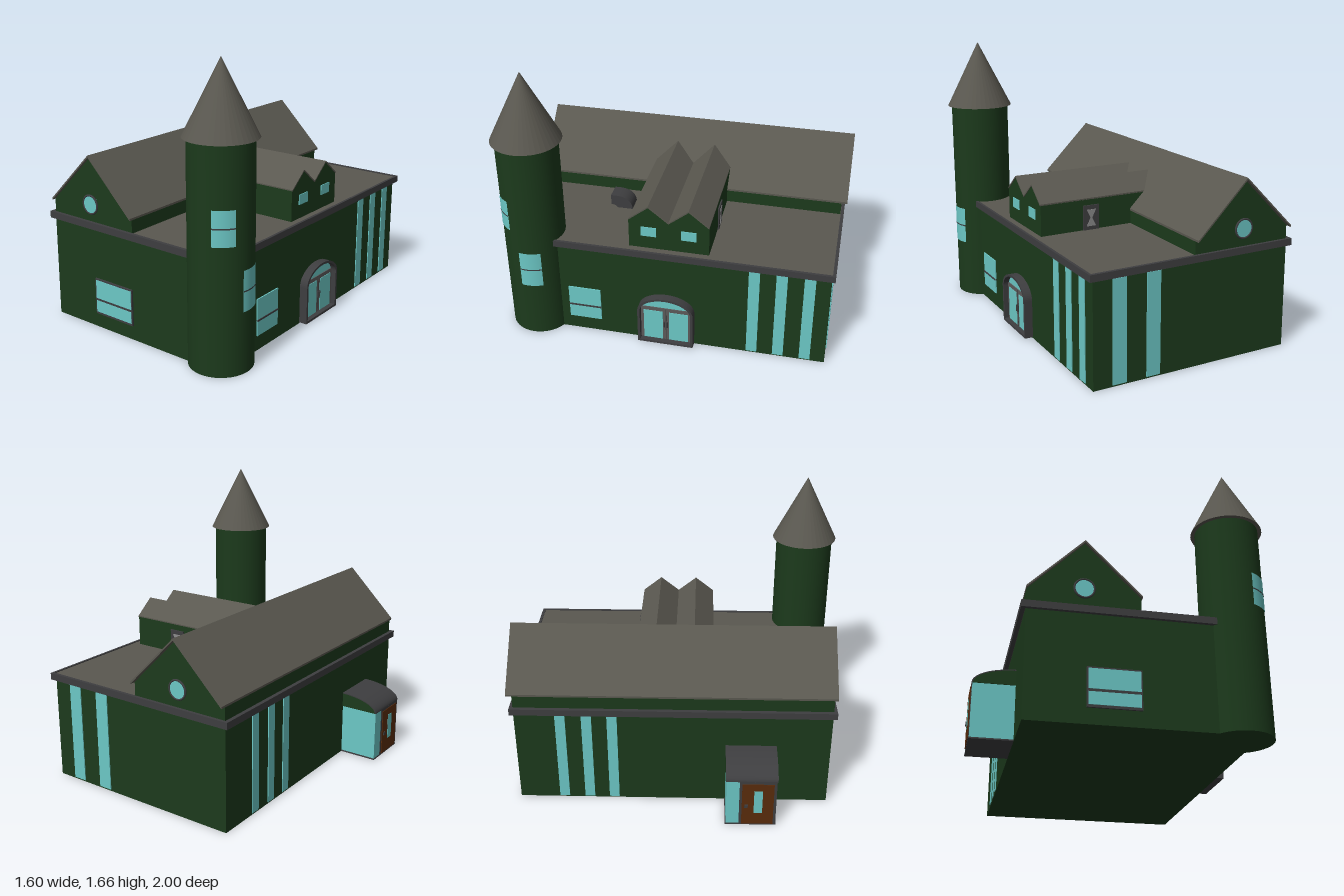
import * as THREE from 'three';

const mat = (color) => new THREE.MeshStandardMaterial({ color, side: THREE.DoubleSide });

export function createModel() {
  const root = new THREE.Group();
  const green = mat(0x1c3a1c), glass = mat(0x6cc8c6), slate = mat(0x5a5850);
  const trim = mat(0x3e3e40), stone = mat(0x5c5a5a), black = mat(0x0a0a0a), wood = mat(0x5a2c0c);

  const add = (name, geo, m, parent = root) => {
    const mesh = new THREE.Mesh(geo, m);
    mesh.name = name;
    parent.add(mesh);
    return mesh;
  };
  // Box given by its limits on each axis
  const box = (name, m, x0, x1, y0, y1, z0, z1) => add(name,
    new THREE.BoxGeometry(x1 - x0, y1 - y0, z1 - z0)
      .translate((x0 + x1) / 2, (y0 + y1) / 2, (z0 + z1) / 2), m);
  const poly = (pts) => new THREE.Shape(pts.map(([x, y]) => new THREE.Vector2(x, y)));
  const extrude = (shape, depth) =>
    new THREE.ExtrudeGeometry(shape, { depth, bevelEnabled: false, curveSegments: 16 });
  // Profile in (x, y) swept along z
  const alongZ = (name, m, shape, z0, z1) =>
    add(name, extrude(shape, z1 - z0).translate(0, 0, z0), m);
  // Profile in (z, y) swept along x
  const alongX = (name, m, shape, x0, x1) =>
    add(name, extrude(shape, x1 - x0).rotateY(-Math.PI / 2).translate(x1, 0, 0), m);
  // Thin roof covering made of two slopes
  const chevron = (c, half, eave, peak, t) => poly([
    [c - half, eave], [c, peak], [c + half, eave],
    [c + half, eave - t], [c, peak - t], [c - half, eave - t]]);

  // Main block, rim and flat roof
  box('mainWalls', green, -0.56, 0.67, 0, 0.615, -0.965, 0.9);
  const rim = poly([[-0.585, -0.92], [0.695, -0.92], [0.695, 0.985], [-0.585, 0.985]]);
  rim.holes.push(poly([[-0.562, -0.9], [0.68, -0.9], [0.68, 0.967], [-0.562, 0.967]]));
  add('roofRim', extrude(rim, 0.04).rotateX(-Math.PI / 2).translate(0, 0.607, 0), trim);
  box('flatRoof', slate, -0.562, 0.68, 0.61, 0.642, -0.967, 0.9);

  // Long gabled hall with round end windows
  alongZ('hallWalls', green, poly([[-0.558, 0.63], [0.053, 0.63], [0.053, 0.728],
    [-0.2525, 1.032], [-0.558, 0.728]]), -0.965, 0.9);
  alongZ('hallRoof', slate, chevron(-0.2525, 0.309, 0.733, 1.04, 0.012), -1, 0.92);
  for (const [z, s] of [[0.9, 1], [-0.965, -1]]) {
    const w = new THREE.Group();
    w.name = 'roundWindow';
    w.position.set(-0.255, 0.75, z);
    add('roundGlass', new THREE.CylinderGeometry(0.052, 0.052, 0.016, 32)
      .rotateX(Math.PI / 2).translate(0, 0, s * 0.004), glass, w);
    add('roundFrame', new THREE.TorusGeometry(0.054, 0.006, 8, 32).translate(0, 0, s * 0.01), trim, w);
    root.add(w);
  }

  // Twin-gabled dormer
  alongX('dormerWalls', green, poly([[-0.265, 0.63], [0.205, 0.63], [0.205, 0.825], [0.0875, 0.918],
    [-0.03, 0.825], [-0.1475, 0.918], [-0.265, 0.825]]), -0.12, 0.637);
  for (const c of [0.0875, -0.1475]) {
    alongX('dormerRoof', slate, chevron(c, 0.1175, 0.832, 0.926, 0.009), -0.135, 0.641);
    box('dormerWindow', glass, 0.63, 0.642, 0.725, 0.785, c - 0.045, c + 0.045);
  }
  // Framed vent on the back of the dormer
  box('ventFrame', trim, 0.27, 0.37, 0.64, 0.79, -0.273, -0.26);
  alongZ('ventBlades', mat(0x8c8c8c), poly([[0.29, 0.765], [0.35, 0.765], [0.325, 0.715],
    [0.35, 0.665], [0.29, 0.665], [0.315, 0.715]]), -0.276, -0.27);

  // Curved air duct on the flat roof
  const duct = new THREE.Shape();
  duct.moveTo(0.42, 0.66);
  duct.lineTo(0.42, 0.725);
  duct.lineTo(0.38, 0.725);
  duct.quadraticCurveTo(0.29, 0.72, 0.285, 0.64);
  duct.lineTo(0.38, 0.64);
  duct.quadraticCurveTo(0.385, 0.66, 0.42, 0.66);
  alongX('airDuct', trim, duct, 0.165, 0.265);
  box('ductOpening', black, 0.172, 0.258, 0.665, 0.719, 0.415, 0.422);

  // Round corner tower with cone roof
  const tx = 0.59, tz = 0.795;
  add('towerWall', new THREE.CylinderGeometry(0.18, 0.18, 1.256, 40).translate(tx, 0.628, tz), green);
  const cone = add('towerRoof', new THREE.ConeGeometry(0.203, 0.405, 40).translate(tx, 1.4575, tz), slate.clone());
  cone.material.flatShading = true;
  const arcPatch = (name, m, r, y0, y1, a0, a1) => add(name,
    new THREE.CylinderGeometry(r, r, y1 - y0, 10, 1, true,
      THREE.MathUtils.degToRad(a0), THREE.MathUtils.degToRad(a1 - a0))
      .translate(tx, (y0 + y1) / 2, tz), m);
  for (const [y0, y1, a0, a1] of [[0.725, 0.92, 22, 62], [0.355, 0.585, 77, 118]]) {
    const mid = (y0 + y1) / 2;
    arcPatch('towerWindow', glass, 0.183, y0, y1, a0, a1);
    arcPatch('towerWindowBar', trim, 0.185, mid - 0.004, mid + 0.004, a0, a1);
  }

  // Front window
  box('frontWindowFrame', trim, -0.24, 0.047, 0.088, 0.307, 0.895, 0.91);
  box('frontWindowLower', glass, -0.232, 0.04, 0.102, 0.172, 0.9, 0.913);
  box('frontWindowUpper', glass, -0.232, 0.04, 0.187, 0.298, 0.9, 0.913);

  // Right window
  box('sideWindow', glass, 0.66, 0.677, 0.09, 0.31, 0.385, 0.583);
  box('sideWindowBar', trim, 0.66, 0.681, 0.178, 0.188, 0.385, 0.583);

  // Tall narrow windows on three walls
  for (const z of [-0.533, -0.69, -0.848])
    box('rightStripWindow', glass, 0.66, 0.675, 0.01, 0.6, z - 0.032, z + 0.032);
  for (const z of [-0.39, -0.54, -0.695])
    box('leftStripWindow', glass, -0.565, -0.55, 0.01, 0.6, z - 0.03, z + 0.03);
  for (const x of [0.31, 0.515])
    box('backStripWindow', glass, x - 0.042, x + 0.042, 0.01, 0.6, -0.97, -0.955);

  // Arched double door
  const arch = (half, y0, spring, rise) => {
    const s = new THREE.Shape();
    s.moveTo(-0.02 - half, y0);
    s.lineTo(-0.02 + half, y0);
    s.lineTo(-0.02 + half, spring);
    s.absellipse(-0.02, spring, half, rise, 0, Math.PI, false);
    s.lineTo(-0.02 - half, y0);
    return s;
  };
  const surround = arch(0.168, 0.006, 0.235, 0.107);
  surround.holes.push(arch(0.153, 0.02, 0.235, 0.093));
  alongX('doorSurround', trim, surround, 0.66, 0.72);
  alongX('doorArchGlass', glass, arch(0.153, 0.24, 0.241, 0.087), 0.66, 0.685);
  box('doorPanel', stone, 0.66, 0.69, 0.01, 0.252, -0.173, 0.133);
  for (const s of [-1, 1]) {
    const c = -0.02 + s * 0.077;
    box('doorGlass', glass, 0.68, 0.693, 0.022, 0.228, c - 0.058, c + 0.058);
    box('doorHandle', trim, 0.685, 0.7, 0.115, 0.155, -0.02 + s * 0.009 - 0.003, -0.02 + s * 0.009 + 0.003);
  }
  box('doorSplit', trim, 0.68, 0.692, 0.012, 0.25, -0.022, -0.018);

  // Left porch with a curved roof
  box('porchGlass', glass, -0.79, -0.55, 0.005, 0.312, 0.284, 0.576);
  box('porchFloor', trim, -0.793, -0.55, 0, 0.008, 0.28, 0.58);
  const quarter = (rx, ry) => {
    const s = new THREE.Shape();
    s.moveTo(-0.55, 0.31);
    s.lineTo(-0.55, 0.31 + ry);
    s.absellipse(-0.55, 0.31, rx, ry, Math.PI / 2, Math.PI, false);
    s.lineTo(-0.55, 0.31);
    return s;
  };
  alongZ('porchGable', green, quarter(0.238, 0.086), 0.28, 0.58);
  const cover = new THREE.Shape();
  cover.absellipse(-0.55, 0.31, 0.243, 0.09, Math.PI / 2, Math.PI, false);
  cover.absellipse(-0.55, 0.31, 0.236, 0.084, Math.PI, Math.PI / 2, true);
  alongZ('porchRoof', trim, cover, 0.279, 0.581);
  // Porch door
  box('porchDoorFrame', trim, -0.793, -0.785, 0.005, 0.312, 0.36, 0.576);
  box('porchDoor', wood, -0.797, -0.785, 0.01, 0.295, 0.375, 0.56);
  box('porchDoorGlass', glass, -0.799, -0.79, 0.09, 0.25, 0.445, 0.495);
  box('porchDoorHandle', trim, -0.803, -0.79, 0.13, 0.15, 0.39, 0.41);

  return root;
}
